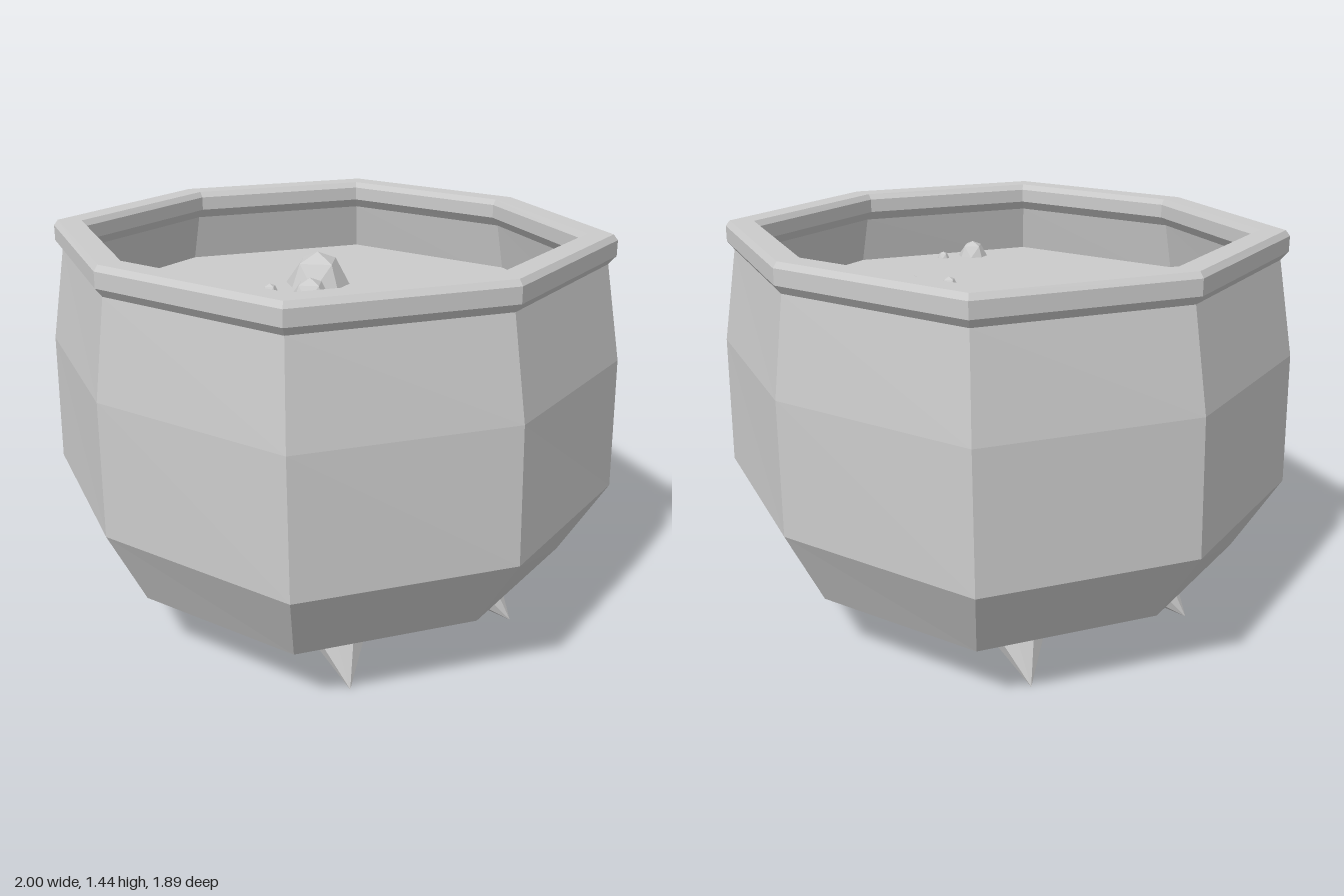
import * as THREE from 'three';

const grey = new THREE.MeshStandardMaterial({ color: 0xcccccc, flatShading: true, side: THREE.DoubleSide });

// Eight-sided surface; each ring is [half width x, half depth z, height y]
function octagonal(name, rings) {
  const geo = new THREE.LatheGeometry(rings.map(([x, , y]) => new THREE.Vector2(x, y)), 8);
  const pos = geo.attributes.position;
  for (let i = 0; i < pos.count; i++) {
    const [hx, hz, y] = rings[i % rings.length];
    const step = Math.floor(i / rings.length);
    const angle = step * Math.PI / 4;
    const diagonal = step % 2 === 1;
    const kx = diagonal ? 0.75 * Math.SQRT2 : 1;
    const kz = diagonal ? 0.77 * Math.SQRT2 : 1;
    pos.setXYZ(i, Math.sin(angle) * hx * kx, y, Math.cos(angle) * hz * kz);
  }
  geo.computeVertexNormals();
  const mesh = new THREE.Mesh(geo, grey);
  mesh.name = name;
  return mesh;
}

export function createModel() {
  const model = new THREE.Group();
  model.name = 'cauldron';

  // Pot wall: outside from the base up to the neck
  model.add(octagonal('potBody', [
    [0, 0, 0.005], [0.26, 0.26, 0.008], [0.5, 0.5, 0.045], [0.82, 0.802, 0.23],
    [1, 0.945, 0.51], [0.985, 0.945, 0.99], [0.92, 0.9, 1.335],
  ]));

  // Rim with bevelled edges, continuing down the inner wall
  model.add(octagonal('rim', [
    [0.92, 0.9, 1.335], [0.945, 0.924, 1.365], [0.945, 0.924, 1.42], [0.93, 0.91, 1.44],
    [0.845, 0.828, 1.44], [0.83, 0.815, 1.42], [0.83, 0.815, 1.37], [0.86, 0.845, 1.335],
    [0.92, 0.895, 1.1],
  ]));

  // Liquid surface
  const level = 1.16;
  model.add(octagonal('liquid', [[0.91, 0.885, level], [0, 0, level]]));

  // Bubbles: x, z, radius
  const bubbles = new THREE.Group();
  bubbles.name = 'bubbles';
  [
    [-0.26, -0.15, 0.122], [-0.11, 0, 0.074], [-0.26, 0.075, 0.033],
    [0.33, -0.15, 0.06], [0.33, 0.01, 0.033],
    [0.625, -0.53, 0.08], [0.53, -0.6, 0.045],
    [0.69, 0.41, 0.06], [0.73, 0.285, 0.025],
  ].forEach(([x, z, r]) => {
    const bubble = new THREE.Mesh(new THREE.OctahedronGeometry(r, 1), grey);
    bubble.name = 'bubble';
    bubble.position.set(x, level, z);
    bubbles.add(bubble);
  });
  model.add(bubbles);

  // Four pointed feet splayed outwards
  const up = new THREE.Vector3(0, 1, 0);
  for (const sx of [-1, 1]) {
    for (const sz of [-1, 1]) {
      const base = new THREE.Vector3(0.505 * sx, 0.115, 0.335 * sz);
      const tip = new THREE.Vector3(0.615 * sx, 0.005, 0.383 * sz);
      const axis = tip.clone().sub(base);
      const foot = new THREE.Mesh(new THREE.ConeGeometry(0.082, axis.length(), 8), grey);
      foot.name = 'foot';
      foot.position.copy(base).add(tip).multiplyScalar(0.5);
      foot.quaternion.setFromUnitVectors(up, axis.normalize());
      model.add(foot);
    }
  }
  return model;
}
